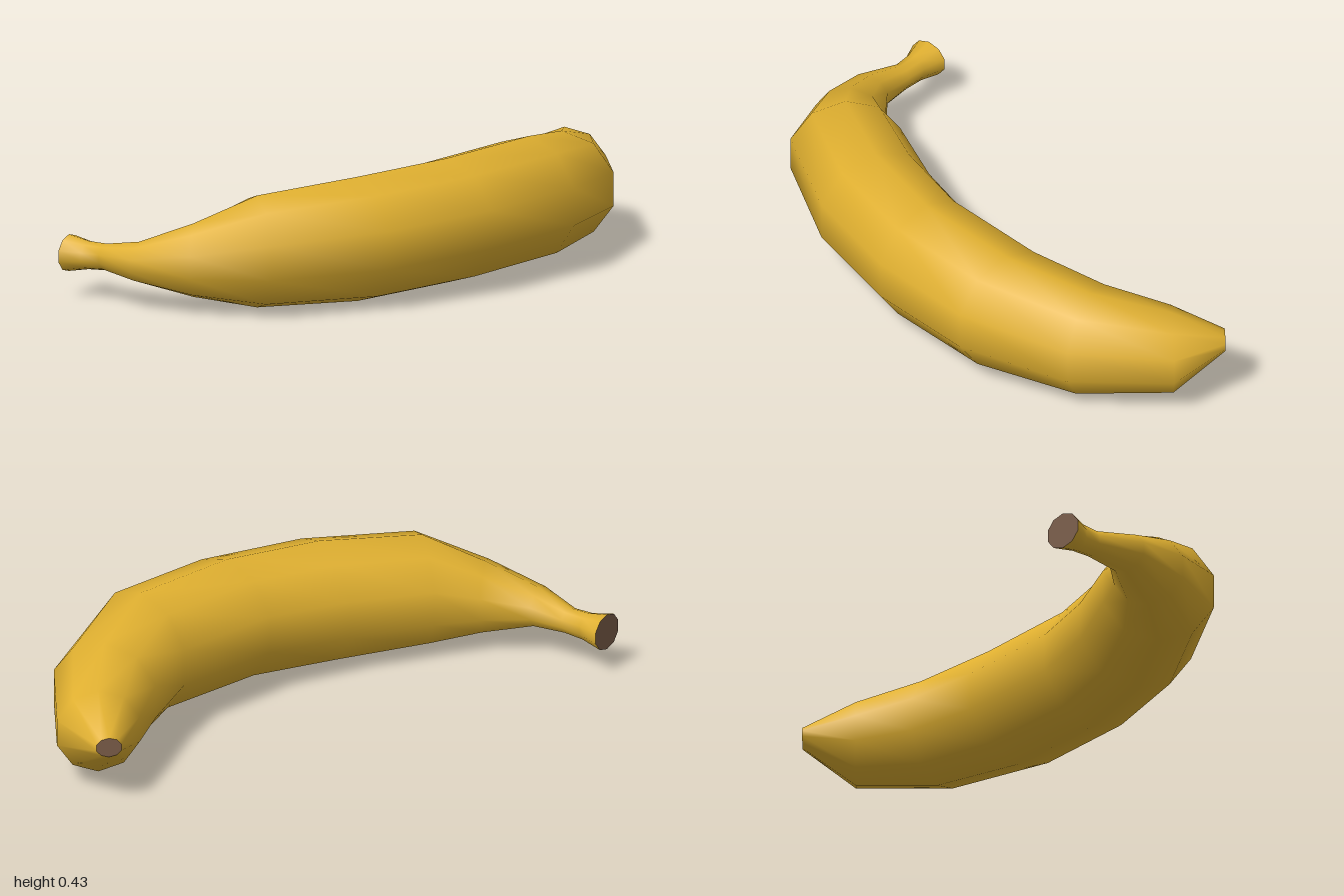
import * as THREE from 'three';

const SIDES = 10;

// Rings from stem to tip: inner x, inner z, outer x, outer z, bottom y, top y
const RINGS = [
  [-0.43, 0.87, -0.387, 0.99, 0.08, 0.20],
  [-0.35, 0.865, -0.33, 0.945, 0.095, 0.187],
  [-0.28, 0.845, -0.27, 0.92, 0.10, 0.187],
  [-0.17, 0.80, -0.11, 0.92, 0.085, 0.215],
  [-0.08, 0.67, 0.08, 0.83, 0.045, 0.285],
  [-0.04, 0.52, 0.285, 0.66, 0.01, 0.375],
  [0.03, 0.24, 0.41, 0.28, 0.0, 0.405],
  [0.06, -0.05, 0.437, -0.11, 0.015, 0.42],
  [0.0, -0.43, 0.38, -0.49, 0.025, 0.425],
  [-0.11, -0.62, 0.18, -0.81, 0.02, 0.375],
  [-0.23, -0.77, -0.10, -1.0, 0.045, 0.325],
  [-0.34, -0.92, -0.30, -0.99, 0.17, 0.235],
];

// Ten-sided ring with flat sides on the inner and outer curve
function ringPoints([ix, iz, ox, oz, y0, y1]) {
  const widen = 1 / Math.cos(Math.PI / SIDES);
  const points = [];
  for (let j = 0; j < SIDES; j++) {
    const a = ((j + 0.5) / SIDES) * Math.PI * 2;
    const c = Math.cos(a) * widen * 0.5;
    points.push(new THREE.Vector3(
      (ix + ox) / 2 + (ox - ix) * c,
      (y0 + y1) / 2 + ((y1 - y0) / 2) * Math.sin(a),
      (iz + oz) / 2 + (oz - iz) * c
    ));
  }
  return points;
}

function buildGeometry(points, index) {
  const geometry = new THREE.BufferGeometry().setFromPoints(points);
  geometry.setIndex(index);
  geometry.computeVertexNormals();
  return geometry;
}

// Smooth skin joining all rings
function skinGeometry() {
  const index = [];
  for (let i = 0; i < RINGS.length - 1; i++) {
    for (let j = 0; j < SIDES; j++) {
      const k = (j + 1) % SIDES;
      const a = i * SIDES + j, b = i * SIDES + k;
      const c = a + SIDES, d = b + SIDES;
      index.push(a, c, b, b, c, d);
    }
  }
  return buildGeometry(RINGS.flatMap(ringPoints), index);
}

// Closing fan over one end ring
function capGeometry(ring, flip) {
  const points = ringPoints(ring);
  const center = new THREE.Vector3();
  points.forEach((p) => center.addScaledVector(p, 1 / SIDES));
  const index = [];
  for (let j = 0; j < SIDES; j++) {
    const k = (j + 1) % SIDES;
    index.push(SIDES, flip ? k : j, flip ? j : k);
  }
  return buildGeometry([...points, center], index);
}

export function createModel() {
  const yellow = new THREE.MeshStandardMaterial({ color: 0xe0b030 });
  yellow.name = 'banana yellow';
  const brown = new THREE.MeshStandardMaterial({ color: 0x7a5c48 });
  brown.name = 'stem brown';

  const group = new THREE.Group();
  group.name = 'banana';
  const add = (name, geometry, material) => {
    const mesh = new THREE.Mesh(geometry, material);
    mesh.name = name;
    group.add(mesh);
  };
  add('peel', skinGeometry(), yellow);
  add('stemEnd', capGeometry(RINGS[0], false), brown);
  add('blossomEnd', capGeometry(RINGS[RINGS.length - 1], true), brown);
  return group;
}
